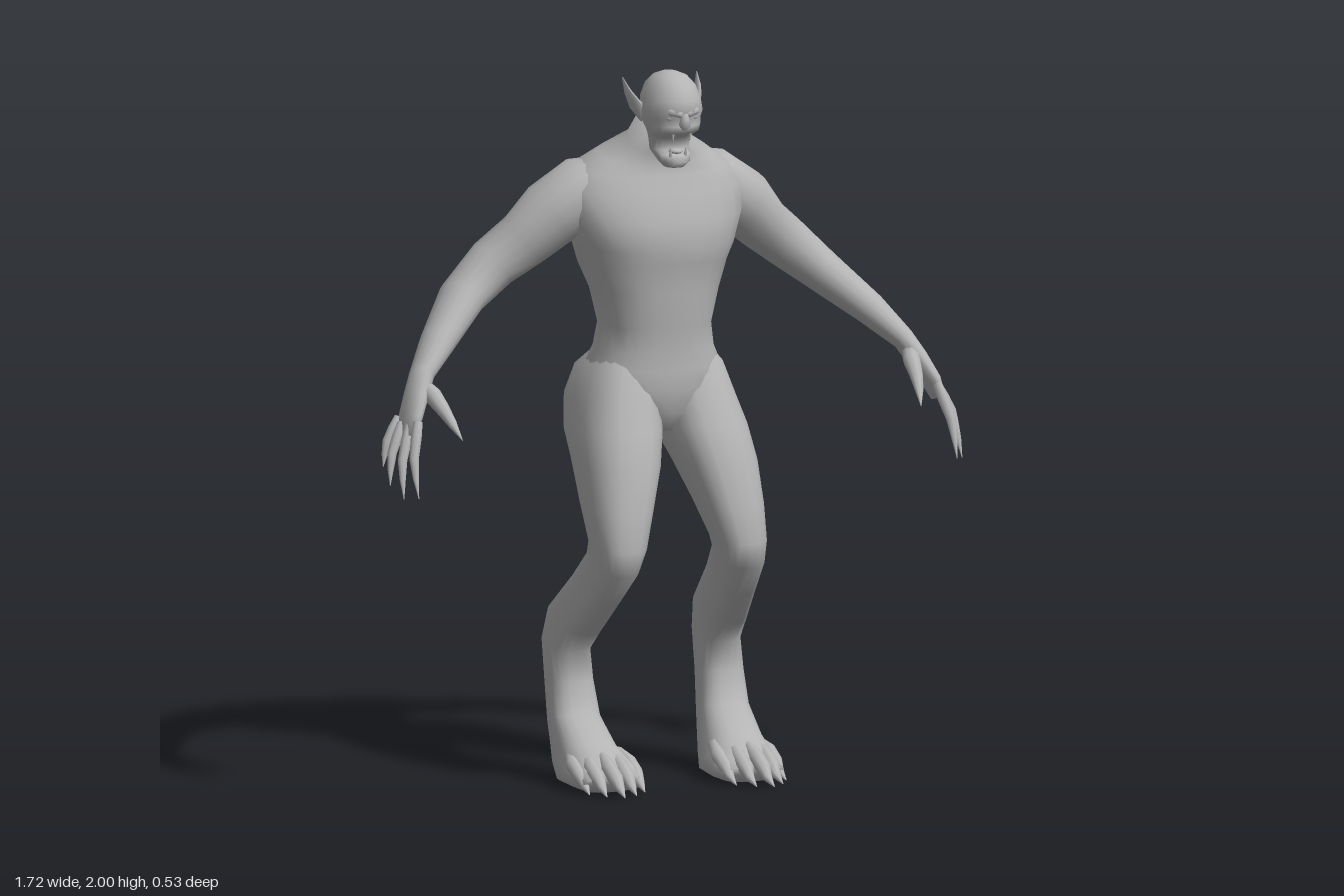
import * as THREE from 'three';

const skin = new THREE.MeshStandardMaterial({ color: 0xb4b4b4 });
skin.name = 'grey skin';
const V = (x, y, z) => new THREE.Vector3(x, y, z);

// Closed skin over rings {c, a, b}: centre and two half-axes; power < 1 makes rings boxier
function loft(name, rings, sides = 16, power = 1, floor = false) {
  const first = rings[0], last = rings[rings.length - 1];
  const dot = r => ({ c: r.c, a: r.a.clone().multiplyScalar(0.01), b: r.b.clone().multiplyScalar(0.01) });
  const all = [dot(first), ...rings, dot(last)];
  const pos = [], idx = [];
  const bend = v => Math.sign(v) * Math.pow(Math.abs(v), power);
  for (const r of all) for (let j = 0; j < sides; j++) {
    const t = (j / sides) * Math.PI * 2;
    const p = r.c.clone().addScaledVector(r.a, bend(Math.cos(t))).addScaledVector(r.b, bend(Math.sin(t)));
    pos.push(p.x, floor ? Math.max(0, p.y) : p.y, p.z);
  }
  for (let i = 0; i < all.length - 1; i++) for (let j = 0; j < sides; j++) {
    const a = i * sides + j, b = i * sides + (j + 1) % sides;
    idx.push(a, b, a + sides, b, b + sides, a + sides);
  }
  // Turn the faces outward when the signed volume is negative
  const P = k => V(pos[3 * k], pos[3 * k + 1], pos[3 * k + 2]);
  let volume = 0;
  for (let k = 0; k < idx.length; k += 3) volume += P(idx[k]).sub(first.c).dot(P(idx[k + 1]).sub(first.c).cross(P(idx[k + 2]).sub(first.c)));
  if (volume < 0) idx.reverse();
  const g = new THREE.BufferGeometry();
  g.setAttribute('position', new THREE.Float32BufferAttribute(pos, 3));
  g.setIndex(idx);
  g.computeVertexNormals();
  const mesh = new THREE.Mesh(g, skin);
  mesh.name = name;
  return mesh;
}

// Ring from front (y, z), back (y, z) and x range
const slice = (s, [yf, zf, yb, zb, x0, x1]) => ({
  c: V(s * (x0 + x1) / 2, (yf + yb) / 2, (zf + zb) / 2),
  a: V(0, (yf - yb) / 2, (zf - zb) / 2),
  b: V(s * (x1 - x0) / 2, 0, 0),
});

// Rings square to a path of [x, y, z, thickness, width]
function along(s, pts, ref = V(0, 0, 1)) {
  const c = pts.map(p => V(s * p[0], p[1], p[2]));
  return pts.map((p, i) => {
    const d = c[Math.min(i + 1, c.length - 1)].clone().sub(c[Math.max(i - 1, 0)]).normalize();
    const b = ref.clone().addScaledVector(d, -ref.dot(d)).normalize();
    const a = d.clone().cross(b);
    return { c: c[i], a: a.multiplyScalar(p[3]), b: b.multiplyScalar(p[4] ?? p[3]) };
  });
}

function ball(name, x, y, z, rx, ry, rz) {
  const m = new THREE.Mesh(new THREE.SphereGeometry(1, 12, 8), skin);
  m.position.set(x, y, z);
  m.scale.set(rx, ry, rz);
  m.name = name;
  return m;
}

export function createModel() {
  const model = new THREE.Group();
  model.name = 'creature';

  // Torso and neck
  const torso = [
    [0.985, 0.03, 0.98, -0.12, 0.04], [1.04, 0.07, 1.03, -0.215, 0.13], [1.11, 0.08, 1.1, -0.243, 0.2],
    [1.16, 0.077, 1.16, -0.232, 0.192], [1.21, 0.075, 1.21, -0.208, 0.168], [1.28, 0.078, 1.28, -0.195, 0.157],
    [1.38, 0.092, 1.38, -0.213, 0.18], [1.46, 0.092, 1.45, -0.235, 0.21], [1.5, 0.112, 1.52, -0.252, 0.227],
    [1.58, 0.1, 1.61, -0.262, 0.258], [1.66, 0.07, 1.68, -0.252, 0.265], [1.705, 0.05, 1.74, -0.208, 0.222],
    [1.735, 0.042, 1.785, -0.155, 0.163], [1.77, 0.045, 1.83, -0.092, 0.092], [1.82, 0.06, 1.9, -0.045, 0.07],
  ];
  model.add(loft('torso', torso.map(([a, b, c, d, w]) => slice(1, [a, b, c, d, -w, w])), 24, 0.85));

  // Head with an open mouth notch, as [y, front z, back z, half width]
  const head = new THREE.Group();
  head.name = 'head';
  const skull = [
    [2.0, 0.075, 0.025, 0.02], [1.99, 0.11, -0.005, 0.045], [1.965, 0.143, -0.035, 0.066], [1.93, 0.16, -0.047, 0.079],
    [1.9, 0.166, -0.046, 0.083], [1.88, 0.152, -0.042, 0.081], [1.86, 0.156, -0.03, 0.077], [1.843, 0.158, -0.02, 0.07],
    [1.832, 0.13, -0.01, 0.065], [1.818, 0.092, 0, 0.061], [1.785, 0.084, 0, 0.056], [1.774, 0.115, 0.01, 0.052],
    [1.755, 0.13, 0.03, 0.043], [1.738, 0.11, 0.05, 0.027],
  ];
  head.add(loft('skull and jaw', skull.map(([y, f, b, w]) => slice(1, [y, f, y, b, -w, w])), 20, 0.95));
  head.add(loft('nose', along(1, [[0, 1.9, 0.154, 0.01], [0, 1.88, 0.158, 0.013], [0, 1.865, 0.158, 0.017], [0, 1.857, 0.15, 0.01]]), 10));
  head.add(ball('tongue', 0, 1.782, 0.09, 0.02, 0.008, 0.024));
  for (const s of [1, -1]) {
    head.add(loft('brow', along(s, [[0.008, 1.895, 0.158, 0.01], [0.035, 1.902, 0.146, 0.012], [0.065, 1.91, 0.106, 0.008]], V(0, 1, 0)), 8));
    head.add(ball('eye', s * 0.034, 1.884, 0.137, 0.013, 0.008, 0.008));
    head.add(loft('upperFang', along(s, [[0.026, 1.843, 0.135, 0.006], [0.025, 1.815, 0.133, 0.001]]), 6));
    head.add(loft('lowerFang', along(s, [[0.022, 1.77, 0.108, 0.006], [0.023, 1.795, 0.112, 0.001]]), 6));
    head.add(loft('ear', [
      { c: V(s * 0.074, 1.885, 0.035), a: V(0, 0.026, 0.01), b: V(s * 0.012, 0, 0.006) },
      { c: V(s * 0.093, 1.91, 0.02), a: V(0, 0.018, 0.029), b: V(s * 0.009, 0, 0.004) },
      { c: V(s * 0.105, 1.942, 0.0), a: V(0, 0.009, 0.019), b: V(s * 0.006, 0, 0.003) },
      { c: V(s * 0.112, 1.98, -0.022), a: V(0, 0.001, 0.002), b: V(s * 0.001, 0, 0) },
    ], 10));
  }
  model.add(head);

  // Limbs, mirrored
  for (const s of [1, -1]) {
    const side = s > 0 ? 'left' : 'right';
    const arm = new THREE.Group();
    arm.name = side + 'Arm';
    arm.add(loft('arm and palm', along(s, [
      [0.08, 1.68, -0.1, 0.07, 0.09], [0.19, 1.65, -0.11, 0.097, 0.115], [0.285, 1.59, -0.123, 0.092, 0.105],
      [0.355, 1.52, -0.145, 0.078, 0.09], [0.44, 1.455, -0.167, 0.072, 0.077], [0.54, 1.37, -0.148, 0.06, 0.078],
      [0.65, 1.268, -0.058, 0.046, 0.058], [0.725, 1.188, 0.0, 0.031, 0.042], [0.755, 1.135, 0.03, 0.028, 0.05],
      [0.785, 1.075, 0.058, 0.023, 0.058], [0.8, 1.03, 0.07, 0.012, 0.052],
    ]), 16, 0.95));

    // Clawed fingers from knuckle to tip, then the thumb
    const fingers = [
      [0.785, 1.05, 0.115, 0.81, 0.875, 0.18], [0.8, 1.04, 0.085, 0.84, 0.87, 0.145],
      [0.81, 1.045, 0.05, 0.858, 0.9, 0.09], [0.808, 1.06, 0.02, 0.858, 0.945, 0.04],
    ];
    for (const [x, y, z, tx, ty, tz] of fingers) {
      const at = (t, r, lift) => [x + (tx - x) * t + lift, y + (ty - y) * t, z + (tz - z) * t, r];
      arm.add(loft('finger', along(s, [at(-0.15, 0.014, 0), at(0.1, 0.016, 0.006), at(0.4, 0.014, 0.013), at(0.7, 0.009, 0.008), at(1, 0.001, 0)]), 8));
    }
    arm.add(loft('thumb', along(s, [
      [0.735, 1.165, 0.02, 0.022], [0.72, 1.14, 0.07, 0.025], [0.712, 1.11, 0.12, 0.02], [0.702, 1.075, 0.165, 0.013], [0.69, 1.035, 0.207, 0.001],
    ], V(1, 0, 0)), 8));
    model.add(arm);

    // Buttock, thigh, backward hock and foot
    const leg = new THREE.Group();
    leg.name = side + 'Leg';
    leg.add(loft('leg and foot', [
      [1.25, 0.0, 1.22, -0.165, 0.03, 0.13], [1.17, 0.05, 1.15, -0.245, 0.002, 0.197], [1.08, 0.085, 1.07, -0.268, 0.002, 0.226],
      [1.0, 0.125, 0.98, -0.225, 0.008, 0.247], [0.9, 0.163, 0.91, -0.14, 0.035, 0.256], [0.78, 0.187, 0.8, -0.055, 0.075, 0.258],
      [0.68, 0.204, 0.7, 0.01, 0.108, 0.253], [0.61, 0.19, 0.665, -0.005, 0.127, 0.25], [0.525, 0.11, 0.585, -0.09, 0.145, 0.258],
      [0.42, 0.0, 0.475, -0.22, 0.16, 0.278], [0.36, -0.073, 0.39, -0.23, 0.165, 0.287], [0.28, -0.06, 0.28, -0.203, 0.162, 0.29],
      [0.19, -0.04, 0.16, -0.165, 0.152, 0.296], [0.125, 0.05, 0.04, -0.13, 0.135, 0.303], [0.1, 0.1, -0.005, -0.09, 0.12, 0.308],
      [0.075, 0.14, -0.005, 0.04, 0.112, 0.308], [0.05, 0.165, 0.0, 0.13, 0.118, 0.303],
    ].map(r => slice(s, r)), 20, 0.8, true));

    // Clawed toes as [x, tip z]
    for (const [x, z] of [[0.135, 0.2], [0.178, 0.242], [0.222, 0.264], [0.262, 0.23], [0.293, 0.18]]) {
      leg.add(loft('toe', along(s, [
        [x * 0.85 + 0.03, 0.092, z - 0.18, 0.016], [x, 0.07, z - 0.12, 0.022], [x, 0.047, z - 0.07, 0.021],
        [x, 0.025, z - 0.04, 0.013], [x + 0.003, 0.006, z, 0.001],
      ], V(1, 0, 0)), 8, 1, true));
    }
    model.add(leg);
  }
  return model;
}
